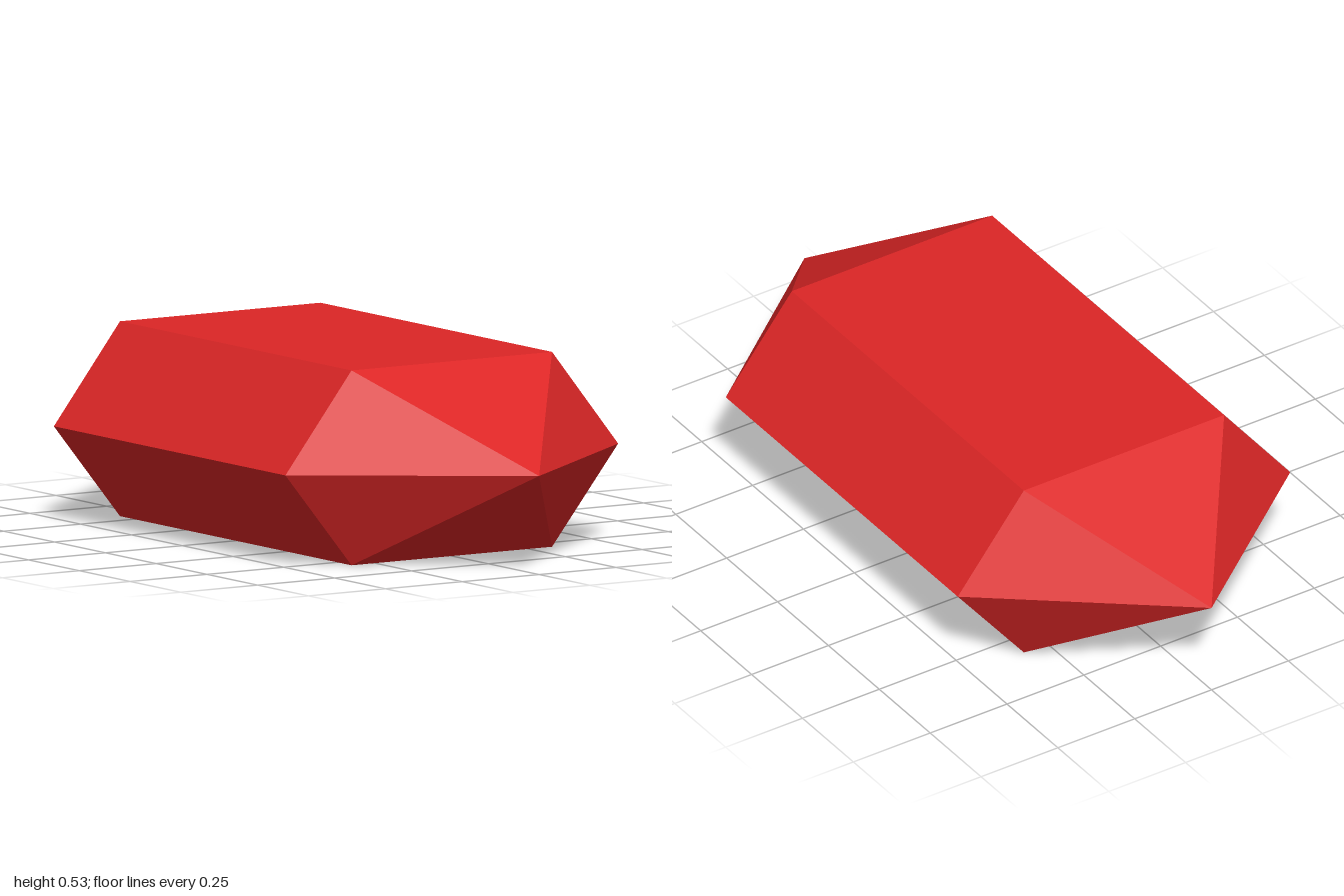
import * as THREE from 'three';

// Hexagonal outline of the crystal, counter-clockwise seen from the front
const OUTLINE = [
  [0.541, 0.266], [0.326, 0.534], [-0.326, 0.534],
  [-0.541, 0.263], [-0.326, 0], [0.326, 0],
];
const SHOULDER = 0.57; // z where the prism meets the points
const TIP = 1;
const TIP_Y = 0.27;

// Non-indexed triangles keep every facet flat
function facets(addTriangles) {
  const positions = [];
  const tri = (...corners) => corners.forEach((c) => positions.push(...c));
  OUTLINE.forEach((a, i) => addTriangles(tri, a, OUTLINE[(i + 1) % OUTLINE.length]));
  const geometry = new THREE.BufferGeometry();
  geometry.setAttribute('position', new THREE.Float32BufferAttribute(positions, 3));
  geometry.computeVertexNormals();
  return geometry;
}

export function createModel() {
  const group = new THREE.Group();
  group.name = 'crystal';
  const red = new THREE.MeshStandardMaterial({ color: 0xdc2626, flatShading: true });
  red.name = 'red';

  const add = (name, geometry) => {
    const mesh = new THREE.Mesh(geometry, red);
    mesh.name = name;
    group.add(mesh);
  };

  // Six long side facets
  add('body', facets((tri, a, b) => {
    tri([...a, SHOULDER], [...a, -SHOULDER], [...b, -SHOULDER]);
    tri([...a, SHOULDER], [...b, -SHOULDER], [...b, SHOULDER]);
  }));

  // Six-sided pyramids closing both ends
  add('frontPoint', facets((tri, a, b) => tri([...a, SHOULDER], [...b, SHOULDER], [0, TIP_Y, TIP])));
  add('backPoint', facets((tri, a, b) => tri([...b, -SHOULDER], [...a, -SHOULDER], [0, TIP_Y, -TIP])));

  return group;
}
